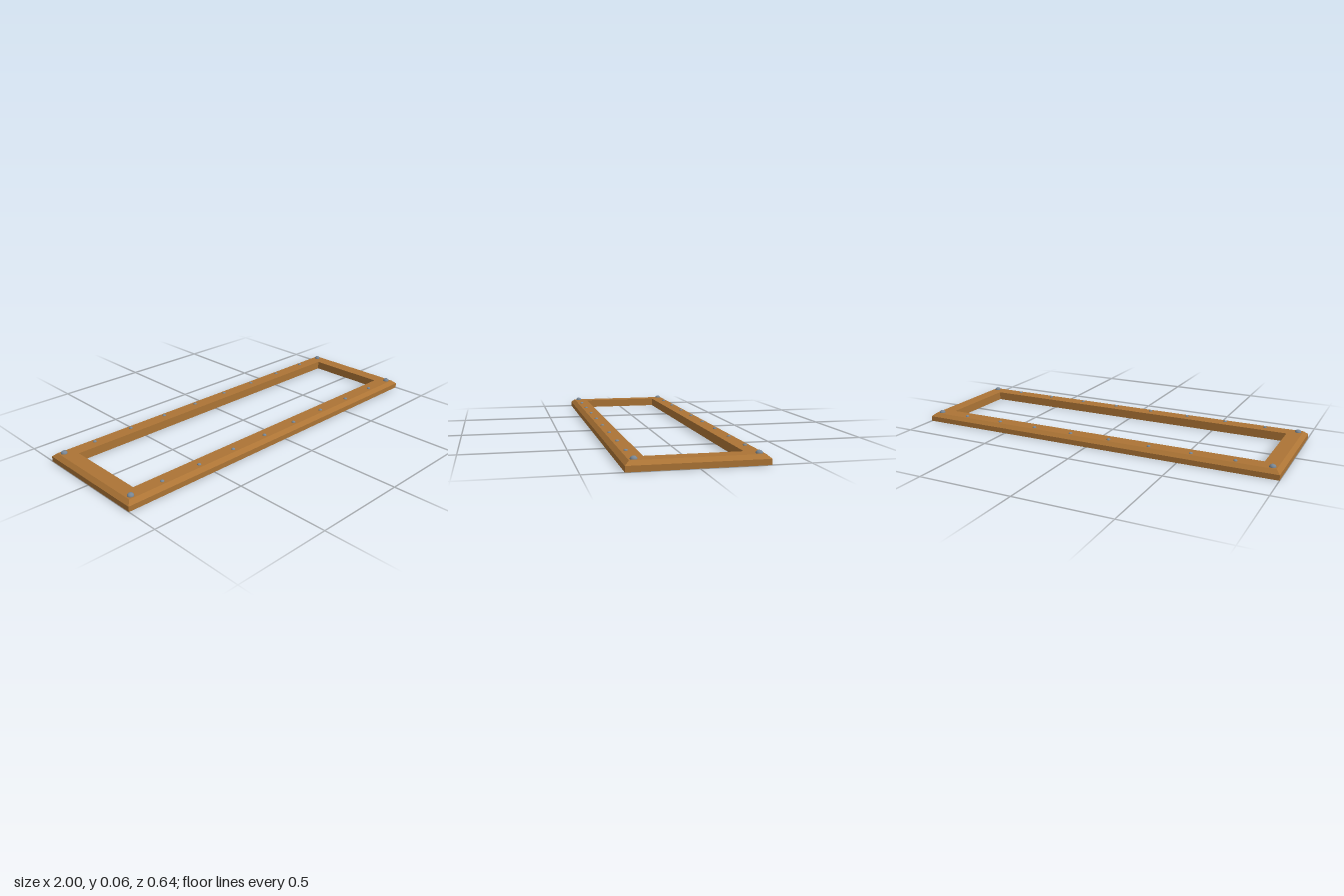
import * as THREE from 'three';

const wood = new THREE.MeshStandardMaterial({ color: 0xac7435, side: THREE.DoubleSide });
wood.name = 'wood';
const steel = new THREE.MeshStandardMaterial({ color: 0x788694 });
steel.name = 'steel';

const HALF_X = 1, HALF_Z = 0.318, TOP = 0.045;

// Rail cross-section, open underneath: [inset from the outer edge, height]
const PROFILE = [[0, 0], [0, 0.027], [0.021, TOP], [0.095, TOP], [0.095, 0]];

// Corner signs, anticlockwise seen from above
const CORNERS = [[1, 1], [1, -1], [-1, -1], [-1, 1]];

// One mitred rail running between two neighbouring corners
function rail(name, from, to) {
  const at = ([sx, sz], [inset, y]) => [sx * (HALF_X - inset), y, sz * (HALF_Z - inset)];
  const positions = [];
  for (let i = 0; i < PROFILE.length - 1; i++) {
    const a = at(from, PROFILE[i]), b = at(to, PROFILE[i]);
    const c = at(to, PROFILE[i + 1]), d = at(from, PROFILE[i + 1]);
    positions.push(...a, ...b, ...c, ...a, ...c, ...d);
  }
  const geometry = new THREE.BufferGeometry();
  geometry.setAttribute('position', new THREE.Float32BufferAttribute(positions, 3));
  geometry.computeVertexNormals();
  const mesh = new THREE.Mesh(geometry, wood);
  mesh.name = name;
  return mesh;
}

// Domed fastener head resting on the top face
function dome(name, radius, height, x, z) {
  const geometry = new THREE.SphereGeometry(radius, 16, 6, 0, Math.PI * 2, 0, Math.PI / 2);
  geometry.scale(1, height / radius, 1);
  const mesh = new THREE.Mesh(geometry, steel);
  mesh.position.set(x, TOP, z);
  mesh.name = name;
  return mesh;
}

export function createModel() {
  const model = new THREE.Group();
  model.name = 'rectangularFrame';

  const frame = new THREE.Group();
  frame.name = 'frame';
  ['leftRail', 'backRail', 'rightRail', 'frontRail'].forEach((name, i) =>
    frame.add(rail(name, CORNERS[i], CORNERS[(i + 1) % 4])));
  model.add(frame);

  // Large corner bolts and a row of small rivets on each long rail
  const fasteners = new THREE.Group();
  fasteners.name = 'fasteners';
  for (const z of [-0.275, 0.273]) {
    for (const x of [-0.955, 0.955]) fasteners.add(dome('cornerBolt', 0.0165, 0.014, x, z));
    for (let i = 0; i < 8; i++) fasteners.add(dome('rivet', 0.01, 0.007, (i - 3.5) * 0.2225, z));
  }
  model.add(fasteners);
  return model;
}
